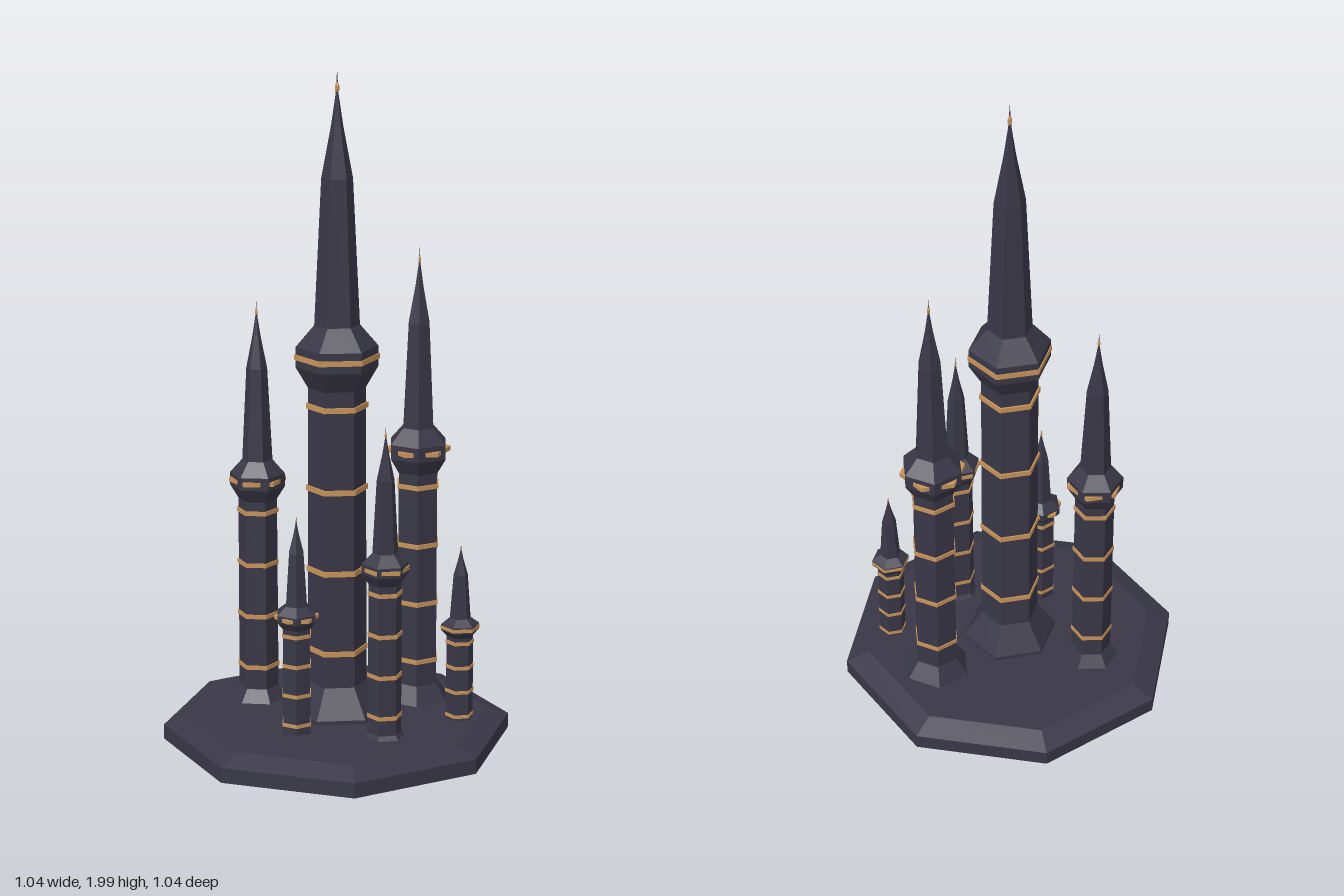
import * as THREE from 'three';

const stone = new THREE.MeshStandardMaterial({ color: 0x393747, flatShading: true });
stone.name = 'dark stone';
const gold = new THREE.MeshStandardMaterial({ color: 0xc8935a, flatShading: true });
gold.name = 'gold trim';

const HALF_PI = Math.PI / 2;

// Faceted turned solid; corners start on the x axis
function turned(name, points, sides, material) {
  const profile = points.map(([r, y]) => new THREE.Vector2(r, y));
  const mesh = new THREE.Mesh(new THREE.LatheGeometry(profile, sides, HALF_PI), material);
  mesh.name = name;
  return mesh;
}

// Thin hexagonal band around a tower
function band(name, radius, y, thickness) {
  const h = thickness / 2;
  return turned(name, [[radius * 0.85, y - h], [radius, y - h], [radius, y + h], [radius * 0.85, y + h]], 6, gold);
}

// Hexagonal tower: s is the shaft radius, h the full height
function tower({ name, x, z, s, h, turn }) {
  const group = new THREE.Group();
  group.name = name;
  group.position.set(x, 0, z);

  const body = new THREE.Group();
  body.name = 'towerBody';
  body.rotation.y = THREE.MathUtils.degToRad(turn);
  group.add(body);

  const part = (label, rows) =>
    body.add(turned(label, rows.map(([r, y]) => [r * s, y * h]), 6, stone));
  part('plinth', [[1.64, 0.005], [1.64, 0.042], [1, 0.085]]);
  part('shaft', [[1, 0.08], [0.97, 0.54]]);
  part('collar', [[0.97, 0.537], [1.38, 0.568], [1.38, 0.598], [0.76, 0.63]]);
  part('spire', [[0.76, 0.628], [0.52, 0.845], [0.2, 0.92], [0.05, 0.965], [0, 1]]);

  // Evenly spaced shaft bands and a collar band that keeps the same heading on all towers
  const thickness = 0.008 + 0.004 * h;
  for (let i = 0; i < 4; i++) {
    body.add(band('shaftBand', s * 1.04, (0.138 + i * 0.124) * h, thickness));
  }
  group.add(band('collarBand', s * 1.42, 0.583 * h, thickness));

  // Small gilded bead on the needle
  body.add(turned('finialBead', [[0, 0.963], [0.07, 0.971], [0.07, 0.977], [0, 0.985]]
    .map(([r, y]) => [r * s, y * h]), 6, gold));
  return group;
}

export function createModel() {
  const model = new THREE.Group();
  model.name = 'spireCitadel';

  // Bevelled octagonal base
  model.add(turned('base', [[0, 0], [0.52, 0], [0.52, 0.045], [0.45, 0.072], [0, 0.072]], 8, stone));

  [
    { name: 'mainTower', x: 0, z: 0, s: 0.088, h: 1.99, turn: 0 },
    { name: 'backRightTower', x: -0.225, z: -0.15, s: 0.06, h: 1.3, turn: -11 },
    { name: 'backLeftTower', x: 0.253, z: -0.104, s: 0.068, h: 1.46, turn: 23 },
    { name: 'frontLeftTower', x: 0.118, z: 0.222, s: 0.05, h: 1.0, turn: 5 },
    { name: 'frontRightTower', x: -0.134, z: 0.163, s: 0.046, h: 0.73, turn: 25 },
    { name: 'sideTower', x: 0.357, z: 0.09, s: 0.041, h: 0.61, turn: 2 },
  ].forEach((spec) => model.add(tower(spec)));

  return model;
}
